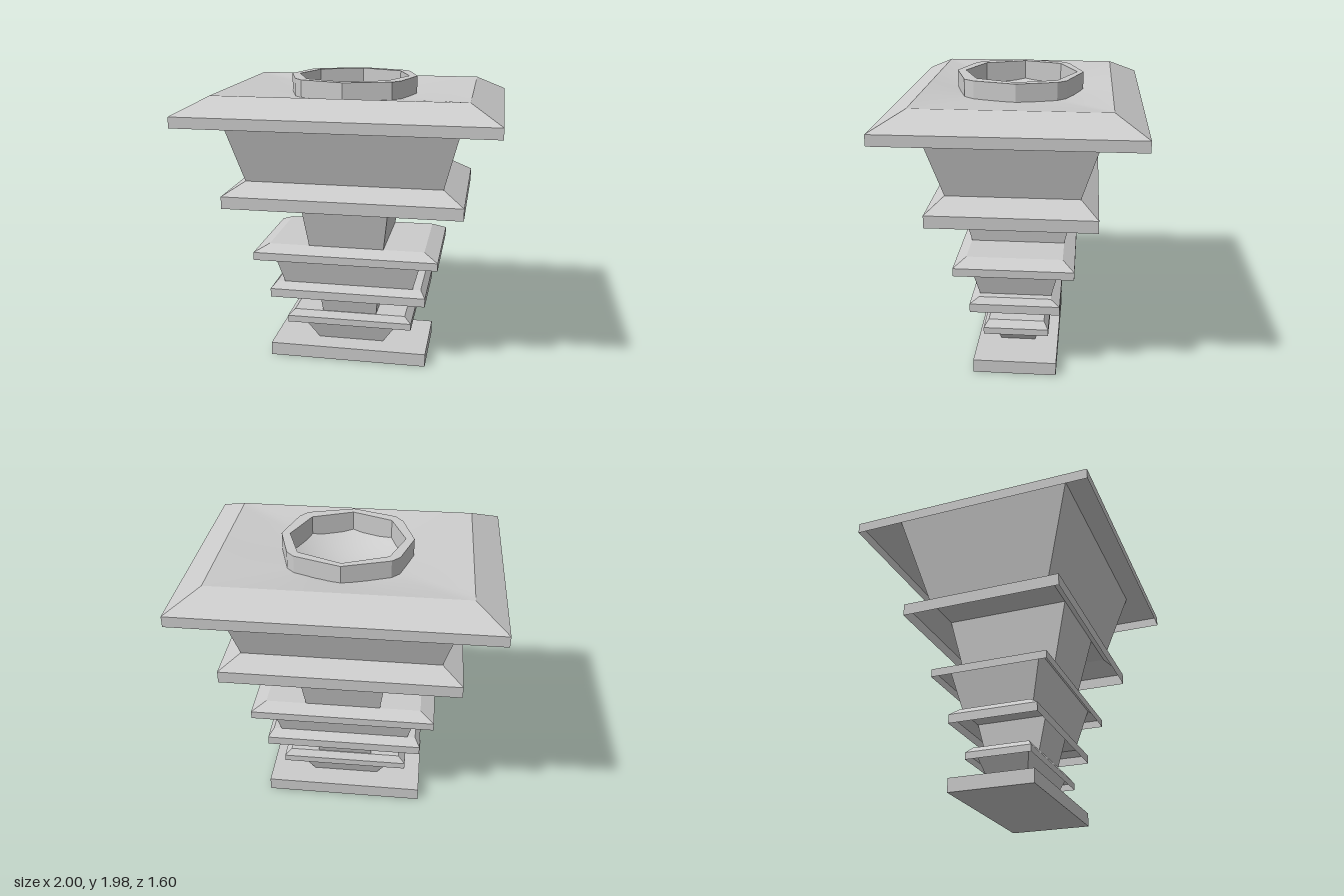
import * as THREE from 'three';

const material = new THREE.MeshStandardMaterial({ color: 0xcccccc, flatShading: true, side: THREE.DoubleSide });
const smooth = new THREE.MeshStandardMaterial({ color: 0xcccccc, side: THREE.DoubleSide });

// Stacks rectangular sections [y, halfWidth, halfDepth] into flat-faced walls, with optional end caps
function loft(sections, { bottom = false, top = false } = {}) {
  const positions = [];
  const index = [];
  for (const [y, w, d] of sections) {
    positions.push(-w, y, d, w, y, d, w, y, -d, -w, y, -d);
  }
  for (let s = 0; s < sections.length - 1; s++) {
    for (let i = 0; i < 4; i++) {
      const a = s * 4 + i;
      const b = s * 4 + (i + 1) % 4;
      index.push(a, b, b + 4, a, b + 4, a + 4);
    }
  }
  const t = (sections.length - 1) * 4;
  if (bottom) index.push(0, 2, 1, 0, 3, 2);
  if (top) index.push(t, t + 1, t + 2, t, t + 2, t + 3);
  const indexed = new THREE.BufferGeometry();
  indexed.setAttribute('position', new THREE.Float32BufferAttribute(positions, 3));
  indexed.setIndex(index);
  const geometry = indexed.toNonIndexed();
  geometry.computeVertexNormals();
  return geometry;
}

// Plan outlines are given as [x, z]; the shape is later laid flat
const outline = (points) => points.map(([x, z]) => new THREE.Vector2(x, -z));

export function createModel() {
  const model = new THREE.Group();
  const add = (name, geometry, mat = material) => {
    const mesh = new THREE.Mesh(geometry, mat);
    mesh.name = name;
    model.add(mesh);
  };

  add('base', loft([[0, 0.55, 0.283], [0.092, 0.55, 0.283]], { bottom: true, top: true }));

  // Flared necks, each running up inside the hollow plate above to its flat top
  const necks = [
    [[0.092, 0.233, 0.12], [0.328, 0.393, 0.19]],
    [[0.328, 0.19, 0.185], [0.556, 0.213, 0.24]],
    [[0.556, 0.45, 0.24], [0.858, 0.53, 0.315]],
    [[0.858, 0.255, 0.315], [1.32, 0.313, 0.423]],
    [[1.32, 0.65, 0.423], [1.905, 0.8, 0.6]],
  ];
  necks.forEach((sections, i) => add(`neck${i + 1}`, loft(sections)));

  // Hollow plates: rim bottom, shoulder and top heights, full half sizes, bevelled half sizes
  const plates = [
    [0.238, 0.285, 0.328, 0.44, 0.222, 0.393, 0.19],
    [0.456, 0.516, 0.556, 0.54, 0.3, 0.505, 0.24],
    [0.758, 0.812, 0.858, 0.625, 0.393, 0.53, 0.315],
    [1.155, 1.236, 1.32, 0.787, 0.535, 0.65, 0.423],
    [1.73, 1.8, 1.905, 1, 0.8, 0.8, 0.6],
  ];
  plates.forEach(([y0, y1, y2, w, d, w2, d2], i) => {
    const isTop = i === plates.length - 1;
    const sections = [[y0, w, d], [y1, w, d], [y2, w2, d2]];
    add(isTop ? 'topPlate' : `plate${i + 1}`, loft(sections, { top: !isTop }));
  });

  // Top surface sags from its rectangular edge to the rim, then deepens into a dish
  const rimRadius = 0.38;
  const surface = new THREE.PlaneGeometry(1.6, 1.2, 48, 36).rotateX(-Math.PI / 2);
  const points = surface.attributes.position;
  for (let i = 0; i < points.count; i++) {
    const x = points.getX(i);
    const z = points.getZ(i);
    const r = Math.hypot(x, z);
    const edge = r / Math.max(Math.abs(x) / 0.8, Math.abs(z) / 0.6, 1e-6);
    const sag = r > rimRadius
      ? 0.045 * (edge - r) / (edge - rimRadius)
      : 0.045 + 0.1 * (1 - (r / rimRadius) ** 2);
    points.setY(i, 1.905 - sag);
  }
  surface.computeVertexNormals();
  add('dishedTop', surface, smooth);

  // Raised rim: octagonal opening, outside octagon with clipped diagonal corners
  const rimShape = new THREE.Shape(outline([
    [0, -0.412], [0.3, -0.31], [0.35, -0.255], [0.425, 0], [0.35, 0.27], [0.3, 0.335],
    [0, 0.423], [-0.285, 0.33], [-0.34, 0.26], [-0.425, 0], [-0.35, -0.255], [-0.3, -0.31],
  ]));
  rimShape.holes.push(new THREE.Path(outline([
    [0, -0.37], [0.283, -0.252], [0.37, 0], [0.265, 0.262],
    [0, 0.367], [-0.265, 0.262], [-0.37, 0], [-0.283, -0.252],
  ])));
  const rim = new THREE.ExtrudeGeometry(rimShape, { depth: 0.135, bevelEnabled: false });
  add('rim', rim.rotateX(-Math.PI / 2).translate(0, 1.843, 0));

  return model;
}
